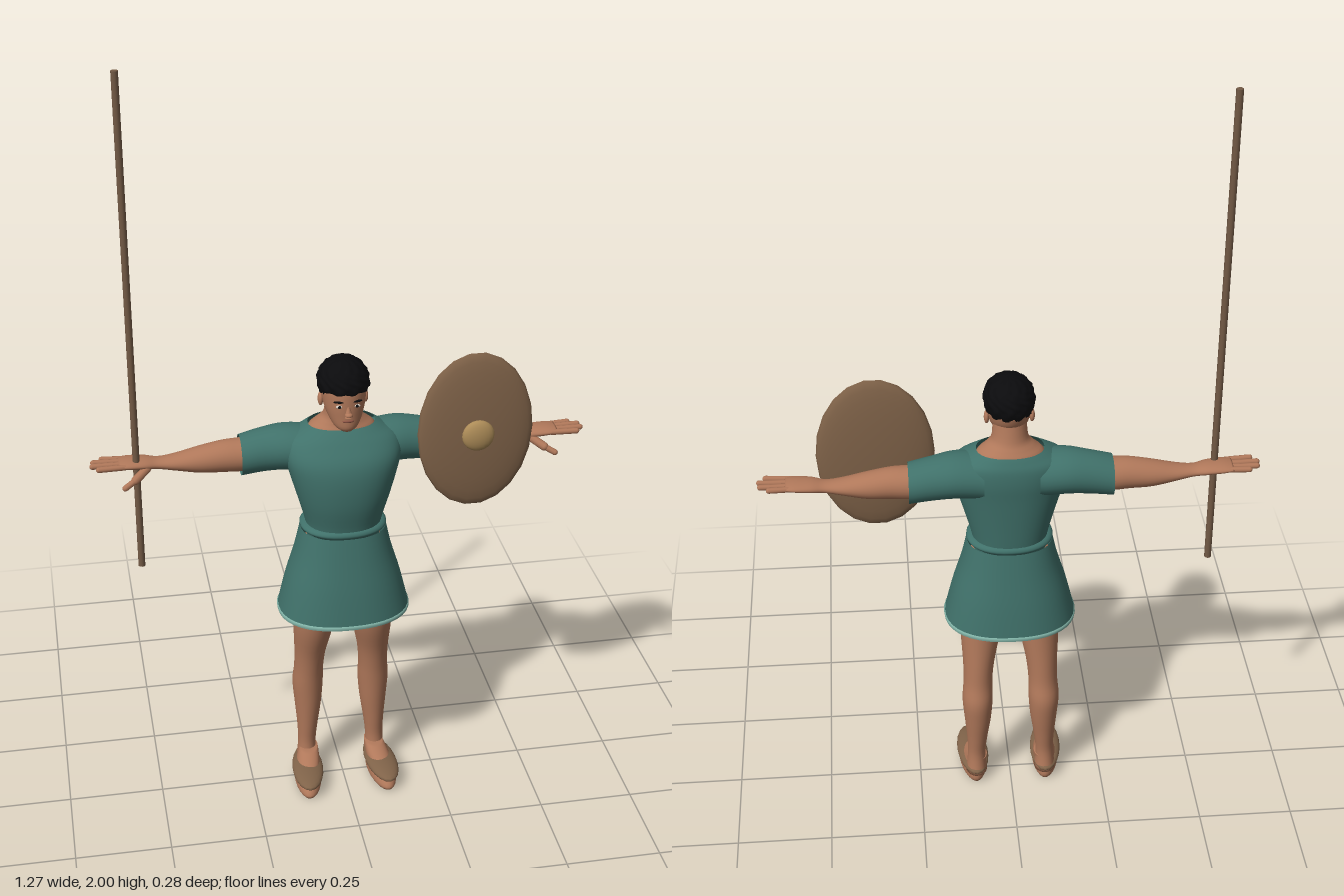
import * as THREE from 'three';
import { mergeVertices } from 'three/addons/utils/BufferGeometryUtils.js';

const mat = (name, color, side = THREE.FrontSide) => {
  const m = new THREE.MeshStandardMaterial({ color, side });
  m.name = name;
  return m;
};

// Smooth in-between values for a list of cross-sections
function smoothSections(list, steps) {
  const out = [];
  for (let i = 0; i < list.length - 1; i++) {
    const p = [list[Math.max(i - 1, 0)], list[i], list[i + 1], list[Math.min(i + 2, list.length - 1)]];
    for (let s = 0; s < steps; s++) {
      const t = s / steps;
      out.push(p[1].map((v, k) => {
        const a = p[0][k], c = p[2][k], d = p[3][k];
        return v + 0.5 * t * (c - a + t * (2 * a - 5 * v + 4 * c - d + t * (3 * (v - c) + d - a)));
      }));
    }
  }
  out.push(list[list.length - 1]);
  return out;
}

// Skin over cross-sections [x, y, z, halfA, halfB] stacked along 'y' or 'x' (ascending).
// Along y: A = x, B = z. Along x: A = z, B = y. 'power' below 1 squares the ring.
function loft(list, { axis = 'y', caps = true, power = 1, sides = 28, steps = 4 } = {}) {
  const rings = smoothSections(list, steps);
  if (caps) {
    rings.unshift([...rings[0].slice(0, 3), 0, 0]);
    rings.push([...rings[rings.length - 1].slice(0, 3), 0, 0]);
  }
  const pos = [], index = [];
  const bend = (v) => Math.sign(v) * Math.abs(v) ** power;
  rings.forEach(([x, y, z, a, b], r) => {
    for (let i = 0; i < sides; i++) {
      const t = (i / sides) * Math.PI * 2;
      const u = a * bend(Math.cos(t)), v = b * bend(Math.sin(t));
      if (axis === 'y') pos.push(x + u, y, z + v);
      else pos.push(x, y + v, z + u);
      if (r < rings.length - 1) {
        const p = r * sides + i, q = r * sides + ((i + 1) % sides);
        index.push(p, p + sides, q, q, p + sides, q + sides);
      }
    }
  });
  const g = new THREE.BufferGeometry();
  g.setAttribute('position', new THREE.Float32BufferAttribute(pos, 3));
  g.setIndex(index);
  g.computeVertexNormals();
  return g;
}

// Mirror a list of sections to the given side, keeping ascending order along x
const sideX = (list, s) => {
  const l = list.map(([x, ...rest]) => [x * s, ...rest]);
  return s < 0 ? l.reverse() : l;
};

export function createModel() {
  const root = new THREE.Group();
  root.name = 'shieldBearer';
  const skin = mat('skin', 0xb0785a);
  const cloth = mat('tunic cloth', 0x40716a, THREE.DoubleSide);
  const trim = mat('hem trim', 0x7fb0a4, THREE.DoubleSide);
  const hairMat = mat('hair', 0x0b0b0d);
  const leather = mat('leather', 0x806349);
  const wood = mat('spear wood', 0x735a45);
  const brass = mat('shield boss', 0xad8c58);
  const lipMat = mat('lips', 0x8f5646);
  const white = mat('eye white', 0xd8cfc4);

  const add = (name, geo, material, parent = root) => {
    const m = new THREE.Mesh(geo, material);
    m.name = name;
    parent.add(m);
    return m;
  };
  const ball = (name, material, p, s, parent = root) => {
    const m = add(name, new THREE.SphereGeometry(1, 20, 14), material, parent);
    m.position.set(...p);
    m.scale.set(...s);
    return m;
  };
  const limb = (name, material, a, b, r, parent) => {
    const p = new THREE.Vector3(...a), q = new THREE.Vector3(...b);
    const m = add(name, new THREE.CapsuleGeometry(r, p.distanceTo(q), 4, 10), material, parent);
    m.position.copy(p).add(q).multiplyScalar(0.5);
    m.quaternion.setFromUnitVectors(new THREE.Vector3(0, 1, 0), q.sub(p).normalize());
    return m;
  };

  // Tunic body
  add('tunicTop', loft([
    [0, 0.77, 0.003, 0.096, 0.084], [0, 0.81, 0.003, 0.099, 0.088], [0, 0.88, 0.008, 0.118, 0.098],
    [0, 0.95, 0.007, 0.138, 0.102], [0, 1.0, 0, 0.15, 0.099], [0, 1.04, -0.012, 0.142, 0.084],
    [0, 1.062, -0.017, 0.108, 0.07], [0, 1.074, -0.02, 0.086, 0.06],
  ], { caps: false, power: 0.9, sides: 40 }), cloth);
  add('waistFold', loft([
    [0, 0.784, 0.003, 0.1, 0.086], [0, 0.795, 0.003, 0.112, 0.094],
    [0, 0.804, 0.003, 0.107, 0.092], [0, 0.808, 0.003, 0.096, 0.085],
  ], { caps: false, power: 0.9, sides: 40 }), cloth);
  const hem = [0, 0.557, 0.003, 0.171, 0.137];
  add('skirt', loft([
    hem, [0, 0.64, 0.003, 0.151, 0.124], [0, 0.72, 0.003, 0.127, 0.108], [0, 0.79, 0.003, 0.111, 0.094],
  ], { caps: false, power: 0.87, sides: 40 }), cloth);
  add('skirtHem', loft([
    [0, 0.546, 0.003, 0.173, 0.139], [0, 0.553, 0.003, 0.174, 0.14], hem,
  ], { caps: false, power: 0.87, sides: 40, steps: 2 }), trim);

  // Neck and head
  add('neck', loft([
    [0, 1.03, -0.02, 0.1, 0.06], [0, 1.065, -0.02, 0.085, 0.058], [0, 1.083, -0.018, 0.064, 0.05],
    [0, 1.105, -0.012, 0.046, 0.044], [0, 1.16, 0, 0.043, 0.044],
  ]), skin);
  const head = new THREE.Group();
  head.name = 'head';
  root.add(head);
  add('face', loft([
    [0, 1.086, 0.056, 0.016, 0.018], [0, 1.098, 0.044, 0.032, 0.038], [0, 1.125, 0.027, 0.046, 0.056],
    [0, 1.155, 0.016, 0.054, 0.068], [0, 1.2, 0.01, 0.057, 0.071], [0, 1.235, 0.008, 0.044, 0.054],
  ]), skin, head);
  const nose = add('nose', new THREE.ConeGeometry(0.011, 0.04, 10), skin, head);
  nose.position.set(0, 1.15, 0.083);
  nose.rotation.x = -0.25;
  ball('noseTip', skin, [0, 1.138, 0.088], [0.01, 0.007, 0.01], head);
  ball('lips', lipMat, [0, 1.118, 0.079], [0.015, 0.005, 0.006], head);
  for (const s of [-1, 1]) {
    ball('eye', white, [0.022 * s, 1.158, 0.078], [0.009, 0.004, 0.004], head);
    ball('pupil', hairMat, [0.022 * s, 1.158, 0.081], [0.004, 0.004, 0.002], head);
    const brow = ball('eyebrow', hairMat, [0.023 * s, 1.17, 0.077], [0.014, 0.003, 0.004], head);
    brow.rotation.y = 0.25 * s;
    ball('ear', skin, [0.057 * s, 1.15, 0.005], [0.007, 0.018, 0.012], head);
  }

  // Curly hair: a ball with a rippled surface
  let hair = new THREE.SphereGeometry(1, 56, 36);
  hair.deleteAttribute('uv');
  hair.deleteAttribute('normal');
  hair = mergeVertices(hair);
  const hp = hair.attributes.position;
  for (let i = 0; i < hp.count; i++) {
    const v = new THREE.Vector3().fromBufferAttribute(hp, i);
    const t = Math.atan2(v.z, v.x), f = Math.acos(THREE.MathUtils.clamp(v.y, -1, 1));
    v.multiplyScalar(1 + 0.045 * Math.sin(11 * t + 3 * Math.sin(5 * f)) * Math.sin(f) * Math.sin(10 * f));
    // Pull the lower front in so the face stays clear
    if (v.y < -0.25 && v.z > 0) v.z *= 0.75;
    hp.setXYZ(i, v.x * 0.065, v.y * 0.062 + 1.2, v.z * 0.077 + 0.01);
  }
  hair.computeVertexNormals();
  add('hair', hair, hairMat, head);

  for (const s of [-1, 1]) {
    // Sleeve and arm
    const arm = new THREE.Group();
    arm.name = s > 0 ? 'leftArm' : 'rightArm';
    root.add(arm);
    add('sleeve', loft(sideX([
      [0.07, 1.0, -0.025, 0.07, 0.06], [0.14, 1.007, -0.032, 0.066, 0.059],
      [0.2, 1.001, -0.036, 0.058, 0.056], [0.258, 0.99, -0.036, 0.056, 0.052],
    ], s), { axis: 'x', caps: false }), cloth, arm);
    add('armSkin', loft(sideX([
      [0.17, 0.995, -0.035, 0.047, 0.045], [0.25, 0.992, -0.035, 0.045, 0.043], [0.3, 0.992, -0.034, 0.042, 0.041],
      [0.36, 0.988, -0.034, 0.038, 0.034], [0.42, 0.987, -0.033, 0.03, 0.021], [0.465, 0.989, -0.032, 0.024, 0.014],
      [0.5, 0.994, -0.031, 0.031, 0.014], [0.54, 0.997, -0.03, 0.034, 0.012], [0.565, 0.998, -0.03, 0.031, 0.008],
    ], s), { axis: 'x' }), skin, arm);
    [[0.605, -0.056], [0.627, -0.04], [0.63, -0.02], [0.615, 0]].forEach(([x, z]) =>
      limb('finger', skin, [0.55 * s, 0.997, -0.03 + (z + 0.03) * 0.85], [x * s, 0.998, z], 0.0075, arm));
    limb('thumbBase', skin, [0.495 * s, 0.985, -0.012], [0.527 * s, 0.966, 0.012], 0.011, arm);
    limb('thumb', skin, [0.527 * s, 0.966, 0.012], [0.553 * s, 0.952, 0.022], 0.008, arm);

    // Leg, foot and sandal
    const leg = new THREE.Group();
    leg.name = s > 0 ? 'leftLeg' : 'rightLeg';
    root.add(leg);
    add('legSkin', loft([
      [0.095, 0.03, -0.035, 0.029, 0.036], [0.094, 0.09, -0.035, 0.024, 0.027], [0.092, 0.15, -0.036, 0.028, 0.033],
      [0.09, 0.22, -0.038, 0.036, 0.042], [0.09, 0.285, -0.038, 0.041, 0.048], [0.088, 0.34, -0.029, 0.039, 0.046],
      [0.085, 0.4, -0.02, 0.042, 0.05], [0.079, 0.48, -0.004, 0.052, 0.06], [0.075, 0.55, 0.003, 0.056, 0.064],
      [0.068, 0.66, 0.003, 0.062, 0.07], [0.055, 0.75, 0.003, 0.045, 0.06],
    ].map(([x, ...r]) => [x * s, ...r])), skin, leg);
    const foot = new THREE.Group();
    foot.name = 'foot';
    foot.position.set(0.102 * s, 0, 0.027);
    foot.rotation.y = 0.08 * s;
    leg.add(foot);
    add('footSkin', loft([
      [0, 0, 0, 0.03, 0.086], [0, 0.012, 0, 0.036, 0.092], [0, 0.035, -0.01, 0.034, 0.08],
      [-0.004 * s, 0.058, -0.03, 0.03, 0.058], [-0.007 * s, 0.078, -0.055, 0.025, 0.032],
    ]), skin, foot);
    ball('sandal', leather, [0, 0.042, 0], [0.042, 0.018, 0.103], foot);
  }

  // Spear shaft beside the right hand
  const spear = add('spear', new THREE.CylinderGeometry(0.009, 0.009, 1.295, 10), wood);
  spear.position.set(-0.521, 1.3525, -0.016);

  // Oval shield with a round boss
  const shield = new THREE.Group();
  shield.name = 'shield';
  shield.position.set(0.337, 1.04, 0.03);
  root.add(shield);
  const board = add('shieldBoard', new THREE.SphereGeometry(1, 22, 14).rotateX(Math.PI / 2), leather, shield);
  board.scale.set(0.15, 0.215, 0.027);
  ball('shieldBoss', brass, [0, 0, 0.033], [0.042, 0.042, 0.017], shield);
  return root;
}
